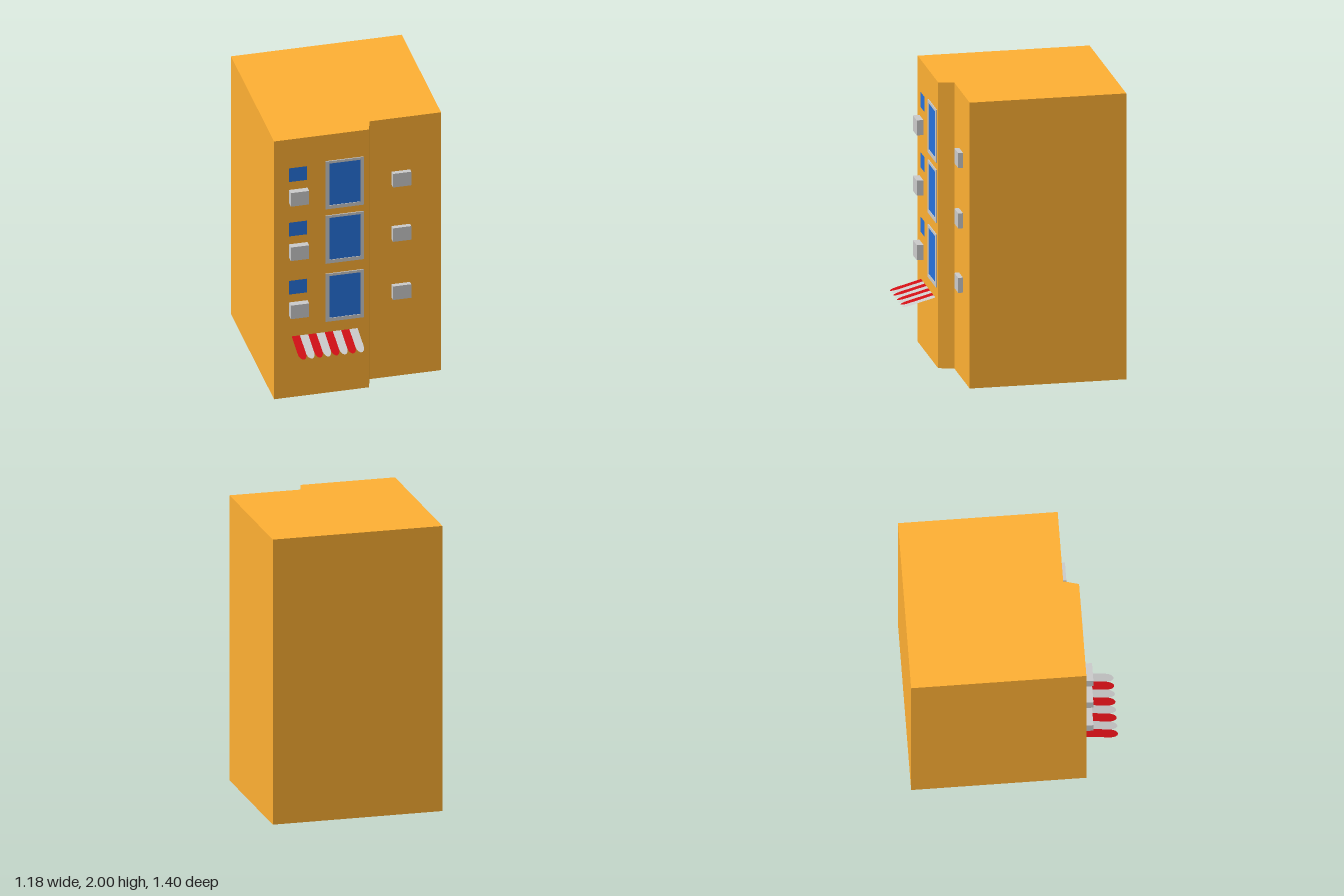
import * as THREE from 'three';

const material = (color, side = THREE.FrontSide) =>
  new THREE.MeshStandardMaterial({ color, side, flatShading: true });

const WALL_Z = 0.478;   // front of the projecting bay
const RECESS_Z = 0.373; // front of the set-back bay
const FLOORS = [0, -0.422, -0.873]; // vertical offsets from the top storey

export function createModel() {
  const group = new THREE.Group();
  const orange = material(0xffb033);
  const grey = material(0xcccccc);
  const blue = material(0x2672dd);
  const greyCloth = material(0xcccccc, THREE.DoubleSide);
  const redCloth = material(0xd10f15, THREE.DoubleSide);

  const add = (name, geometry, mat) => {
    const mesh = new THREE.Mesh(geometry, mat);
    mesh.name = name;
    group.add(mesh);
    return mesh;
  };
  const rectangle = (x0, x1, y0, y1) => [[x0, y0], [x1, y0], [x1, y1], [x0, y1]]
    .map(([x, y]) => new THREE.Vector2(x, y));
  const box = (name, x0, x1, y0, y1, z0, z1, mat) =>
    add(name, new THREE.BoxGeometry(x1 - x0, y1 - y0, z1 - z0), mat)
      .position.set((x0 + x1) / 2, (y0 + y1) / 2, (z0 + z1) / 2);
  const pane = (name, x0, x1, y0, y1, z) =>
    add(name, new THREE.PlaneGeometry(x1 - x0, y1 - y0), blue)
      .position.set((x0 + x1) / 2, (y0 + y1) / 2, z);

  // Building: stepped floor plan extruded upwards
  const plan = new THREE.Shape([
    [-0.592, -WALL_Z], [0.067, -WALL_Z], [0.095, -RECESS_Z],
    [0.592, -RECESS_Z], [0.592, 0.703], [-0.592, 0.703],
  ].map(([x, y]) => new THREE.Vector2(x, y)));
  add('building', new THREE.ExtrudeGeometry(plan, { depth: 2, bevelEnabled: false })
    .rotateX(-Math.PI / 2), orange);

  // Windows and air conditioners on every storey
  FLOORS.forEach((dy, i) => {
    const n = i + 1;
    const frame = new THREE.Shape(rectangle(-0.237, 0.028, 1.426 + dy, 1.797 + dy));
    frame.holes.push(new THREE.Path(rectangle(-0.211, 0.006, 1.453 + dy, 1.778 + dy).reverse()));
    add(`windowFrame${n}`, new THREE.ExtrudeGeometry(frame, { depth: 0.007, bevelEnabled: false }), grey)
      .position.z = WALL_Z;
    pane(`largeWindow${n}`, -0.211, 0.006, 1.453 + dy, 1.778 + dy, WALL_Z + 0.003);
    pane(`smallWindow${n}`, -0.49, -0.363, 1.672 + dy, 1.778 + dy, WALL_Z + 0.003);
    box(`bayAirConditioner${n}`, -0.49, -0.363, 1.51 + dy, 1.615 + dy, 0.487, 0.533, grey);
    box(`recessAirConditioner${n}`, 0.25, 0.377, 1.483 + dy, 1.588 + dy, RECESS_Z, 0.406, grey);
  });

  // Awning: sloping striped cloth with rounded tips
  const awning = new THREE.Group();
  awning.name = 'awning';
  const width = 0.457 / 8, drop = 0.06, reach = 0.222;
  const length = Math.hypot(drop, reach), tip = 0.06;
  const stripe = new THREE.Shape();
  stripe.moveTo(-width / 2, 0);
  stripe.lineTo(-width / 2, tip - length);
  stripe.absellipse(0, tip - length, width / 2, tip, Math.PI, 2 * Math.PI, false);
  stripe.lineTo(width / 2, 0);
  const cloth = new THREE.ShapeGeometry(stripe, 8);
  for (let i = 0; i < 8; i++) {
    const mesh = new THREE.Mesh(cloth, i % 2 ? greyCloth : redCloth);
    mesh.name = `awningStripe${i + 1}`;
    mesh.position.x = -0.471 + width * (i + 0.5);
    awning.add(mesh);
  }
  awning.position.set(0, 0.472, WALL_Z + 0.002);
  awning.rotation.x = -Math.atan2(reach, drop);
  group.add(awning);

  return group;
}
